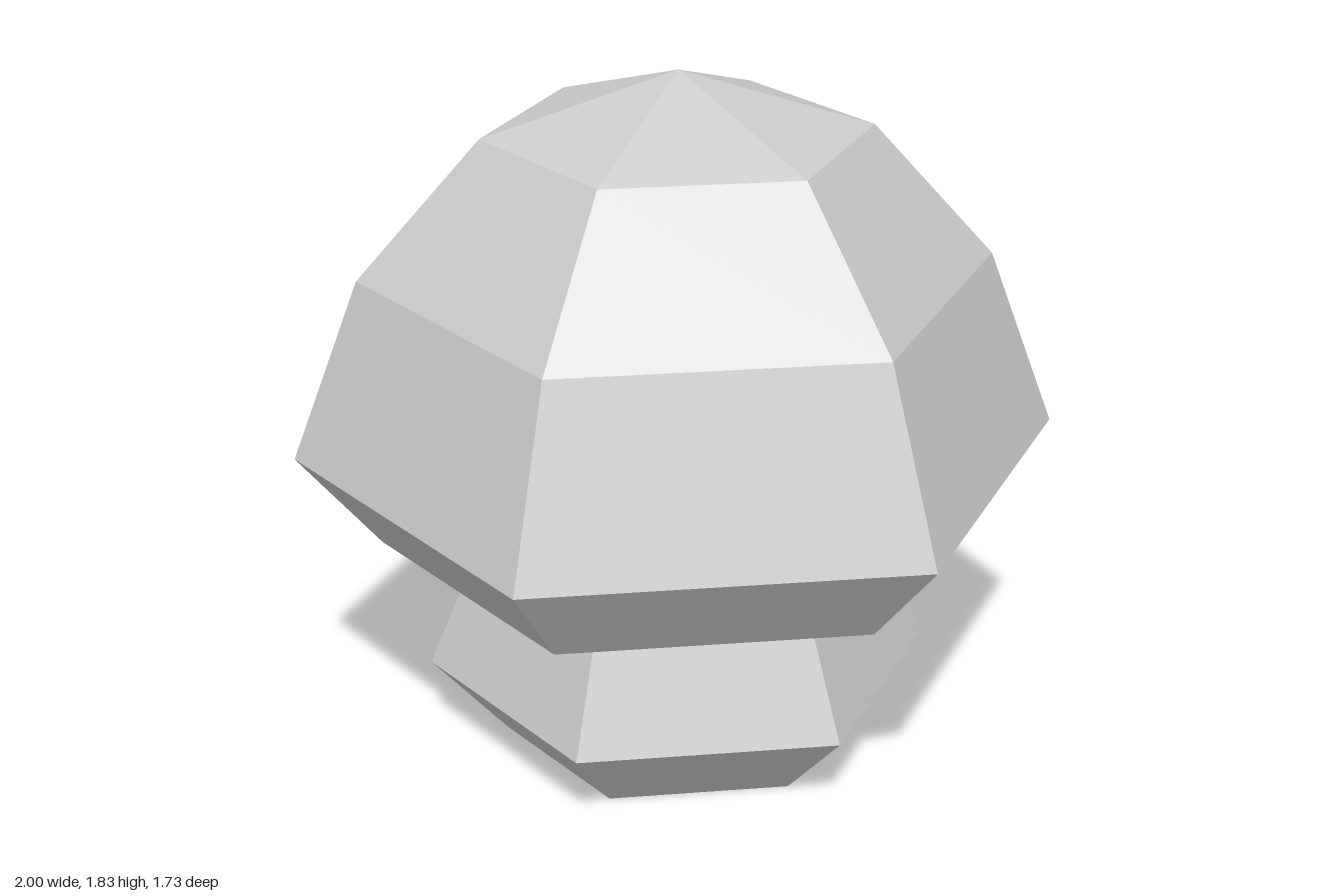
import * as THREE from 'three';

// Six-sided faceted solid from a bottom-to-top profile of [radius, y], corners on the x axis
function hexLathe(name, profile, material) {
  const points = profile.map(([r, y]) => new THREE.Vector2(r, y));
  const geometry = new THREE.LatheGeometry(points, 6, Math.PI / 2).toNonIndexed();
  geometry.computeVertexNormals();
  const mesh = new THREE.Mesh(geometry, material);
  mesh.name = name;
  return mesh;
}

export function createModel() {
  const group = new THREE.Group();
  group.name = 'mushroom';
  const grey = new THREE.MeshStandardMaterial({ color: 0xcccccc, flatShading: true });
  grey.name = 'light grey';

  // Stem: chamfered foot tapering up to the cap
  group.add(hexLathe('stem', [[0, 0], [0.47, 0], [0.67, 0.215], [0.52, 0.58]], grey));

  // Cap: flat underside ring, flared rim and faceted dome
  group.add(hexLathe('cap', [
    [0.52, 0.58], [0.785, 0.58], [1, 0.83], [0.82, 1.31], [0.5, 1.67], [0, 1.83],
  ], grey));

  return group;
}
